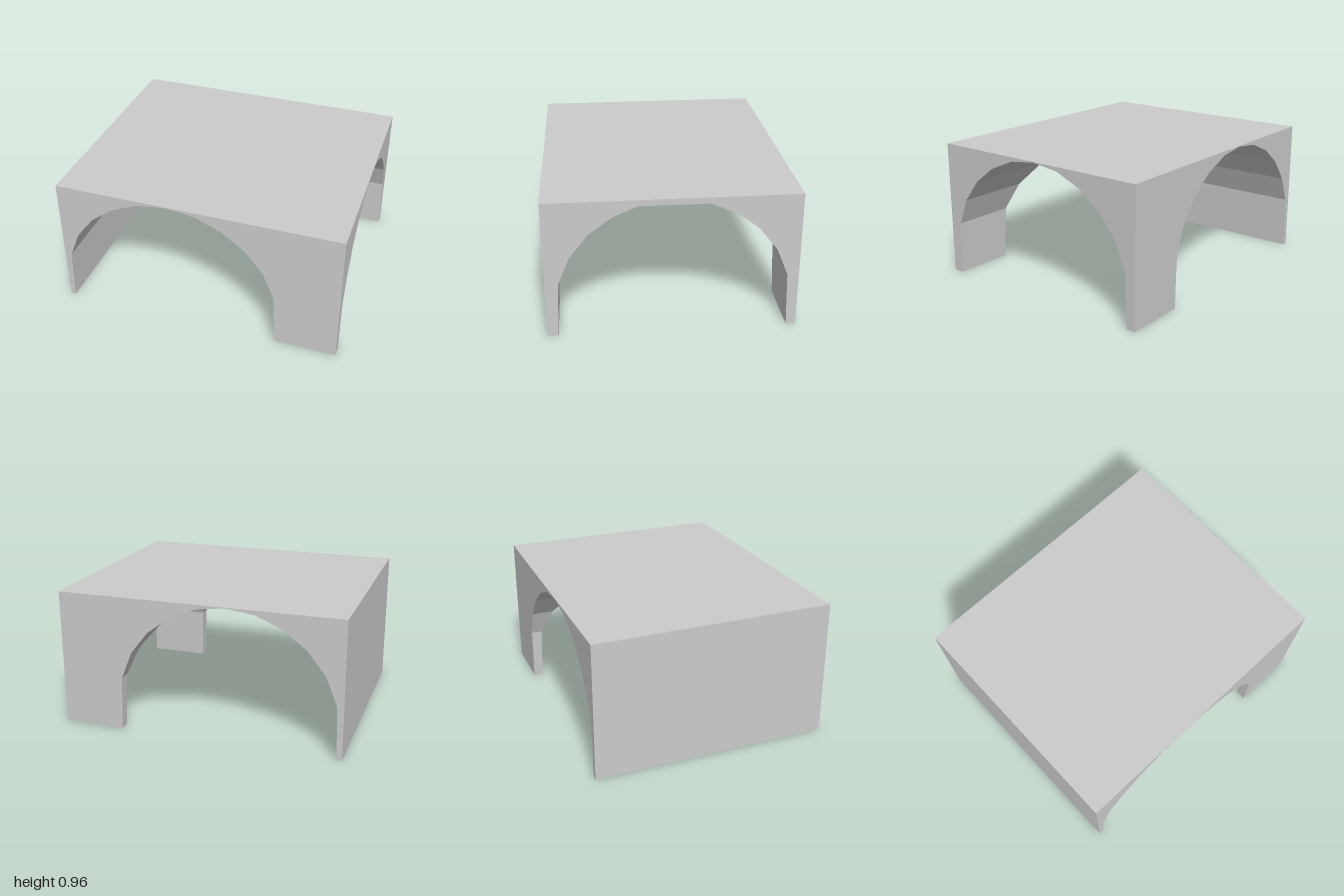
import * as THREE from 'three';

const HX = 1, HZ = 0.835, H = 0.96;   // half width, half depth, height
const XC = -0.2, ZC = -0.005;         // arch centre lines
// Half arch profile from crown to foot: offset from centre, height
const ARCH = [[0, 0.955], [0.2, 0.93], [0.39, 0.85], [0.55, 0.73], [0.675, 0.57], [0.752, 0.38], [0.765, 0]];
const FOOT = 0.765;

const material = new THREE.MeshStandardMaterial({ color: 0xcccccc, flatShading: true, side: THREE.DoubleSide });

function addMesh(group, name, geometry, x = 0, y = 0, z = 0) {
  const mesh = new THREE.Mesh(geometry, material);
  mesh.name = name;
  mesh.position.set(x, y, z);
  group.add(mesh);
}

// Flat wall face, facing +z, with the arch cut up from the ground
function archedFace(half, centre) {
  const left = ARCH.map(([t, y]) => new THREE.Vector2(centre - t, y)).reverse();
  const right = ARCH.slice(1).map(([t, y]) => new THREE.Vector2(centre + t, y));
  const outline = [
    new THREE.Vector2(-half, 0), ...left, ...right,
    new THREE.Vector2(half, 0), new THREE.Vector2(half, H), new THREE.Vector2(-half, H),
  ];
  return new THREE.ShapeGeometry(new THREE.Shape(outline));
}

// Faceted strip between two matching lines of points, facing into the hollow
function strip(lineA, lineB) {
  const inside = new THREE.Vector3(XC, 0.1, ZC);
  const positions = [];
  const triangle = (a, b, c) => {
    const normal = b.clone().sub(a).cross(c.clone().sub(a));
    const order = normal.dot(inside.clone().sub(a)) < 0 ? [a, c, b] : [a, b, c];
    order.forEach((p) => positions.push(p.x, p.y, p.z));
  };
  for (let i = 0; i < lineA.length - 1; i++) {
    triangle(lineA[i], lineB[i], lineB[i + 1]);
    triangle(lineA[i], lineB[i + 1], lineA[i + 1]);
  }
  const geometry = new THREE.BufferGeometry();
  geometry.setAttribute('position', new THREE.Float32BufferAttribute(positions, 3));
  geometry.computeVertexNormals();
  return geometry;
}

const line = (fn) => ARCH.map(([t, y]) => {
  const [x, z] = fn(t);
  return new THREE.Vector3(x, y, z);
});

export function createModel() {
  const group = new THREE.Group();
  group.name = 'vaultedBlock';

  // Outer faces
  addMesh(group, 'roof', new THREE.PlaneGeometry(2 * HX, 2 * HZ).rotateX(-Math.PI / 2), 0, H, 0);
  addMesh(group, 'solidWall', new THREE.PlaneGeometry(2 * HZ, H).rotateY(-Math.PI / 2), -HX, H / 2, 0);
  addMesh(group, 'frontWall', archedFace(HX, XC), 0, 0, HZ);
  addMesh(group, 'backWall', archedFace(HX, -XC).rotateY(Math.PI), 0, 0, -HZ);
  addMesh(group, 'sideWall', archedFace(HZ, -ZC).rotateY(Math.PI / 2), HX, 0, 0);

  // Unbroken half of the main vault, against the solid wall
  addMesh(group, 'mainVault', strip(line((t) => [XC - t, HZ]), line((t) => [XC - t, -HZ])));

  // Other half of the main vault and the side vault, meeting along diagonal groins
  for (const s of [1, -1]) {
    const groin = line((t) => [XC + t, ZC + s * t]);
    addMesh(group, 'mainVaultEnd', strip(groin, line((t) => [XC + t, s * HZ])));
    addMesh(group, 'sideVault', strip(groin, line((t) => [HX, ZC + s * t])));
  }

  // Undersides of the wall and the two corner piers
  const underside = (name, x0, x1, z0, z1) => addMesh(group, name,
    new THREE.PlaneGeometry(x1 - x0, z1 - z0).rotateX(Math.PI / 2), (x0 + x1) / 2, 0, (z0 + z1) / 2);
  underside('wallFoot', -HX, XC - FOOT, -HZ, HZ);
  underside('frontPierFoot', XC + FOOT, HX, ZC + FOOT, HZ);
  underside('backPierFoot', XC + FOOT, HX, -HZ, ZC - FOOT);

  return group;
}
